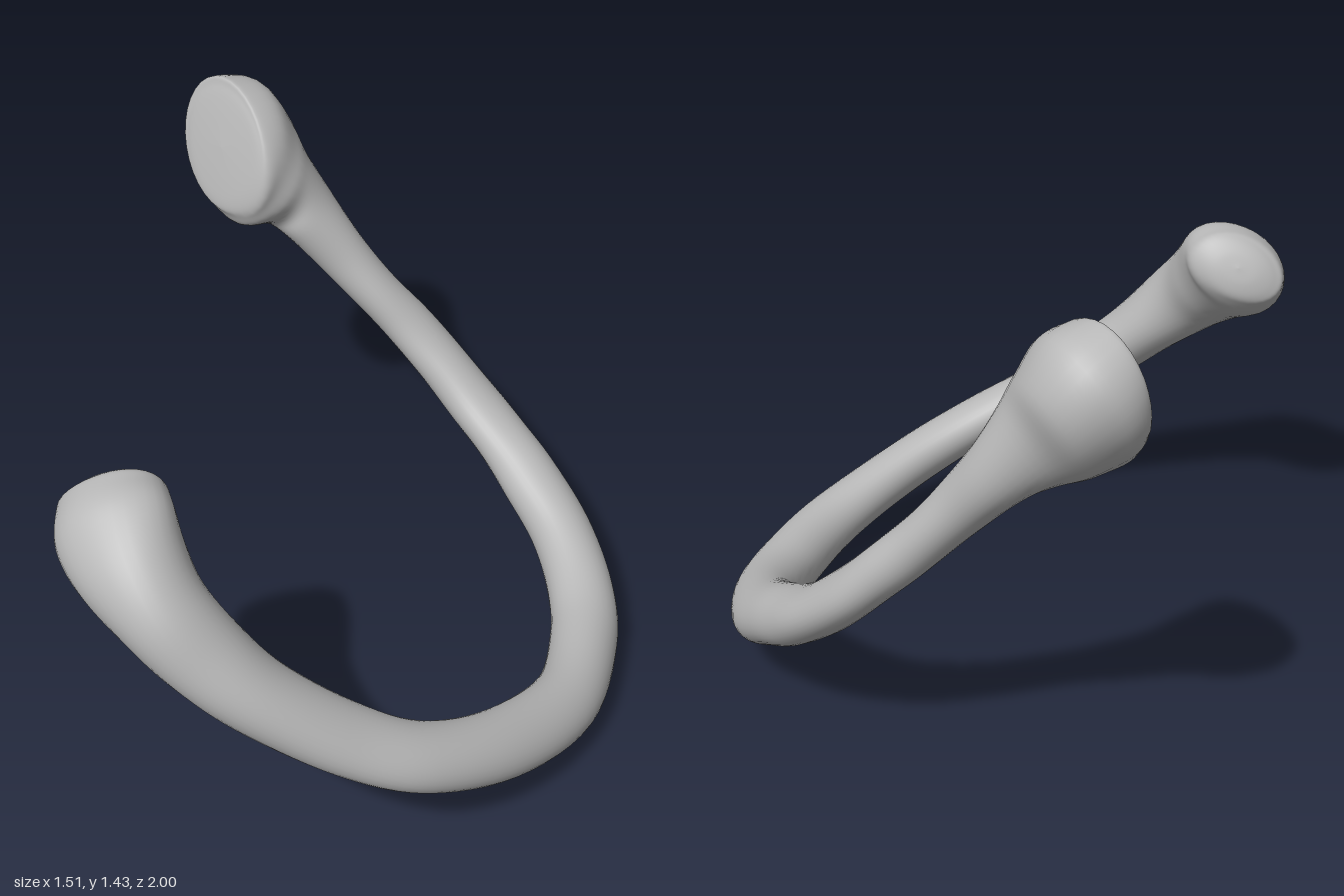
import * as THREE from 'three';

const V = (x, y, z) => new THREE.Vector3(x, y, z);

// Body stations from the blunt end round to the neck: x, y, z, radius in the ring plane, radius across it
const BODY = [
  [-0.612, 0.997, 0.612, 0.105, 0.148],
  [-0.595, 0.966, 0.685, 0.128, 0.166],
  [-0.535, 0.9, 0.775, 0.135, 0.148],
  [-0.45, 0.81, 0.845, 0.13, 0.122],
  [-0.34, 0.70, 0.876, 0.12, 0.105],
  [-0.2, 0.575, 0.889, 0.11, 0.093],
  [0, 0.433, 0.87, 0.103, 0.081],
  [0.2, 0.32, 0.812, 0.1, 0.076],
  [0.41, 0.212, 0.645, 0.1, 0.081],
  [0.59, 0.126, 0.38, 0.1, 0.088],
  [0.655, 0.102, 0.1, 0.103, 0.097],
  [0.648, 0.13, -0.1, 0.1, 0.095],
  [0.59, 0.195, -0.3, 0.1, 0.092],
  [0.49, 0.285, -0.45, 0.1, 0.084],
  [0.398, 0.36, -0.555, 0.096, 0.078],
  [0.302, 0.442, -0.637, 0.093, 0.073],
  [0.2, 0.545, -0.702, 0.09, 0.071],
  [0.1, 0.65, -0.738, 0.083, 0.069],
  [0, 0.755, -0.757, 0.077, 0.07],
  [-0.1, 0.868, -0.777, 0.08, 0.075],
  [-0.2, 0.987, -0.798, 0.1, 0.09],
];

// Flared head stations: inner edge point, outer edge point, half width
const HEAD = [
  [V(-0.275, 1.025, -0.71), V(-0.295, 1.15, -0.925), 0.122],
  [V(-0.335, 1.04, -0.678), V(-0.365, 1.26, -0.983), 0.156],
  [V(-0.37, 1.055, -0.662), V(-0.45, 1.368, -0.97), 0.178],
  [V(-0.395, 1.075, -0.662), V(-0.51, 1.41, -0.89), 0.17],
];

const PLANE_NORMAL = V(0.62, 0.76, 0.2).normalize();
const END_WIDTH = V(0.88, 0.46, -0.15).normalize();
const HEAD_WIDTH = V(0.77, 0.35, 0.53).normalize();

// Rounded-off copies of an end ring, shrinking to a point
function cap(ring, dir, steps) {
  return steps.map(([scale, push]) => ({
    c: ring.c.clone().addScaledVector(dir, push),
    u: ring.u.clone().multiplyScalar(scale),
    v: ring.v.clone().multiplyScalar(scale),
  }));
}

function makeRings() {
  const path = new THREE.CatmullRomCurve3(BODY.map((b) => V(b[0], b[1], b[2])), false, 'catmullrom');
  const rings = BODY.map(([x, y, z, rv, ru], i) => {
    const t = path.getTangent(i / (BODY.length - 1));
    const u = PLANE_NORMAL.clone().lerp(END_WIDTH, Math.max(0, 1 - i / 5));
    u.addScaledVector(t, -u.dot(t)).normalize();
    const v = t.clone().cross(u);
    return { c: V(x, y, z), u: u.multiplyScalar(ru), v: v.multiplyScalar(rv) };
  });
  HEAD.forEach(([inner, outer, width], i) => {
    const v = outer.clone().sub(inner).multiplyScalar(0.5);
    const d = v.clone().normalize();
    const u = PLANE_NORMAL.clone().lerp(HEAD_WIDTH, (i + 1) / HEAD.length);
    u.addScaledVector(d, -u.dot(d)).normalize().multiplyScalar(width);
    rings.push({ c: inner.clone().add(outer).multiplyScalar(0.5), u, v });
  });
  const startDir = path.getTangent(0).negate();
  const last = rings[rings.length - 1];
  const endDir = last.u.clone().cross(last.v).normalize();
  return [
    ...cap(rings[0], startDir, [[0.001, 0.05], [0.45, 0.045], [0.8, 0.029]]),
    ...rings,
    ...cap(last, endDir, [[0.86, 0.014], [0.55, 0.02], [0.001, 0.024]]),
  ];
}

// Smooth skin over the rings, with a slight uneven surface
function loft(rings, perSpan = 6, sides = 32) {
  const spline = (key) => new THREE.CatmullRomCurve3(rings.map((r) => r[key]), false, 'catmullrom', 0.5);
  const [c, u, v] = ['c', 'u', 'v'].map(spline);
  const rows = (rings.length - 1) * perSpan;
  const pos = [];
  const index = [];
  for (let i = 0; i <= rows; i++) {
    const t = i / rows;
    const [pc, pu, pv] = [c.getPoint(t), u.getPoint(t), v.getPoint(t)];
    for (let j = 0; j < sides; j++) {
      const a = (j / sides) * Math.PI * 2;
      const k = 1 + 0.012 * Math.sin(t * 95 + 2 * a) + 0.01 * Math.sin(t * 61 - 3 * a);
      const p = pc.clone().addScaledVector(pu, Math.cos(a) * k).addScaledVector(pv, Math.sin(a) * k);
      pos.push(p.x, p.y, p.z);
      if (i < rows) {
        const n = (j + 1) % sides;
        const [p0, p1, q0, q1] = [i * sides + j, i * sides + n, (i + 1) * sides + j, (i + 1) * sides + n];
        index.push(p0, p1, q0, p1, q1, q0);
      }
    }
  }
  const g = new THREE.BufferGeometry();
  g.setAttribute('position', new THREE.Float32BufferAttribute(pos, 3));
  g.setIndex(index);
  g.computeVertexNormals();
  return g;
}

export function createModel() {
  const group = new THREE.Group();
  group.name = 'curvedBone';
  const grey = new THREE.MeshStandardMaterial({ color: 0xb8b8b8 });
  grey.name = 'boneGrey';
  const bone = new THREE.Mesh(loft(makeRings()), grey);
  bone.name = 'curvedShaftWithHead';
  group.add(bone);
  return group;
}
